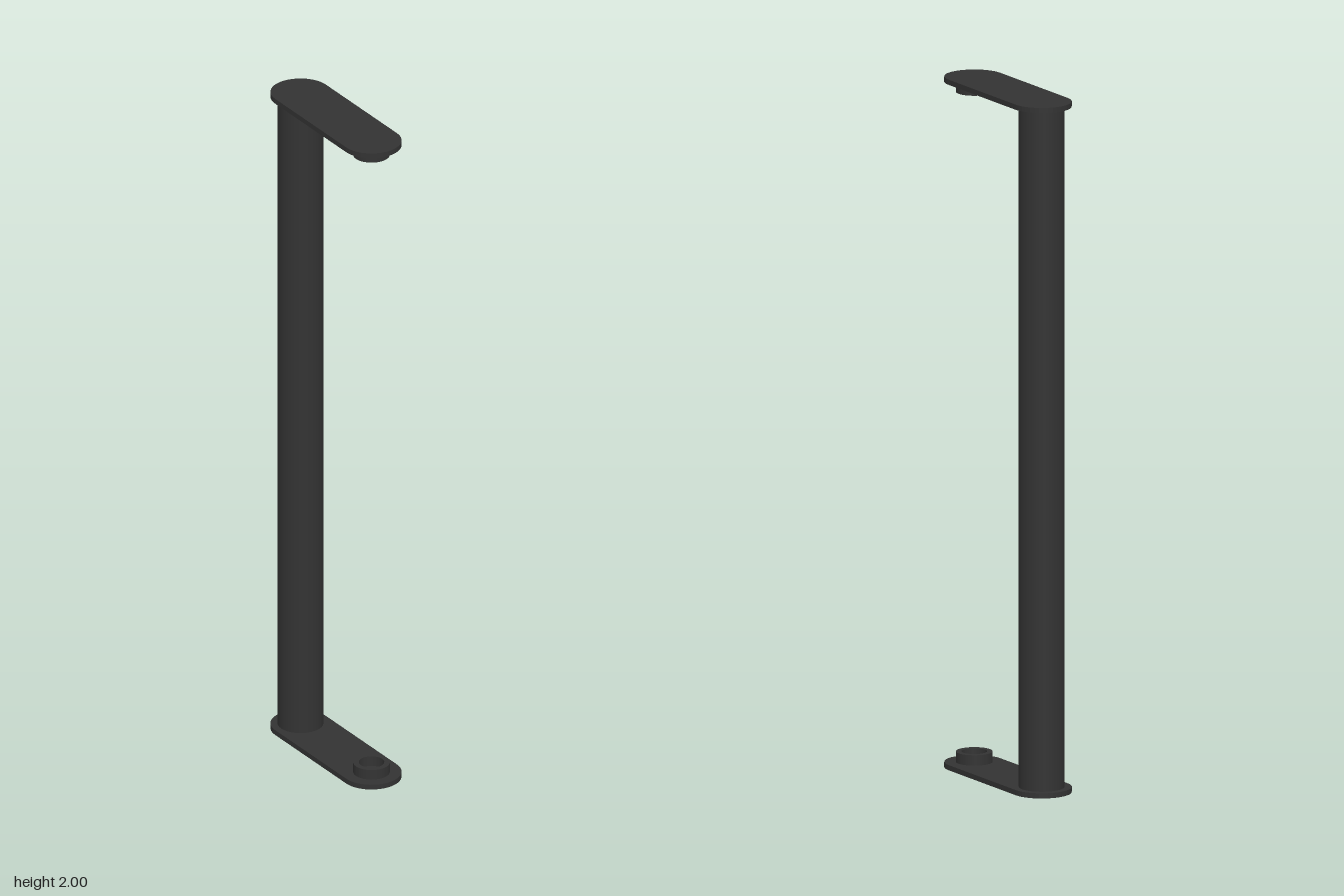
import * as THREE from 'three';

const HEIGHT = 2, PLATE = 0.015, HALF_WIDTH = 0.085, OFFSET = 0.185;

export function createModel() {
  const group = new THREE.Group();
  const material = new THREE.MeshStandardMaterial({ color: 0x333333 });

  const add = (name, geometry, parent = group) => {
    const mesh = new THREE.Mesh(geometry, material);
    mesh.name = name;
    parent.add(mesh);
    return mesh;
  };

  // Round grip bar between the two plates
  const bar = add('gripBar', new THREE.CylinderGeometry(0.065, 0.065, HEIGHT - 2 * PLATE, 32));
  bar.position.set(0, HEIGHT / 2, -OFFSET);

  // Rounded plate outline
  const outline = new THREE.Shape();
  outline.absarc(0, OFFSET, HALF_WIDTH, 0, Math.PI);
  outline.absarc(0, -OFFSET, HALF_WIDTH, Math.PI, 2 * Math.PI);
  outline.closePath();
  const plateGeometry = new THREE.ExtrudeGeometry(outline, { depth: PLATE, bevelEnabled: false, curveSegments: 10 });
  plateGeometry.rotateX(-Math.PI / 2);

  // Hollow screw collar that stands on the plate's inner face
  const ring = new THREE.Shape();
  ring.absarc(0, 0, 0.052, 0, 2 * Math.PI);
  const hole = new THREE.Path();
  hole.absarc(0, 0, 0.036, 0, 2 * Math.PI, true);
  ring.holes.push(hole);
  const collarGeometry = new THREE.ExtrudeGeometry(ring, { depth: 0.03, bevelEnabled: false, curveSegments: 24 });
  collarGeometry.rotateX(-Math.PI / 2);

  // Bottom bracket, and the same bracket turned over for the top
  for (const top of [false, true]) {
    const bracket = new THREE.Group();
    bracket.name = top ? 'topBracket' : 'bottomBracket';
    add('mountingPlate', plateGeometry, bracket);
    add('screwCollar', collarGeometry, bracket).position.set(0, PLATE, OFFSET);
    if (top) {
      bracket.rotation.z = Math.PI;
      bracket.position.y = HEIGHT;
    }
    group.add(bracket);
  }
  return group;
}
